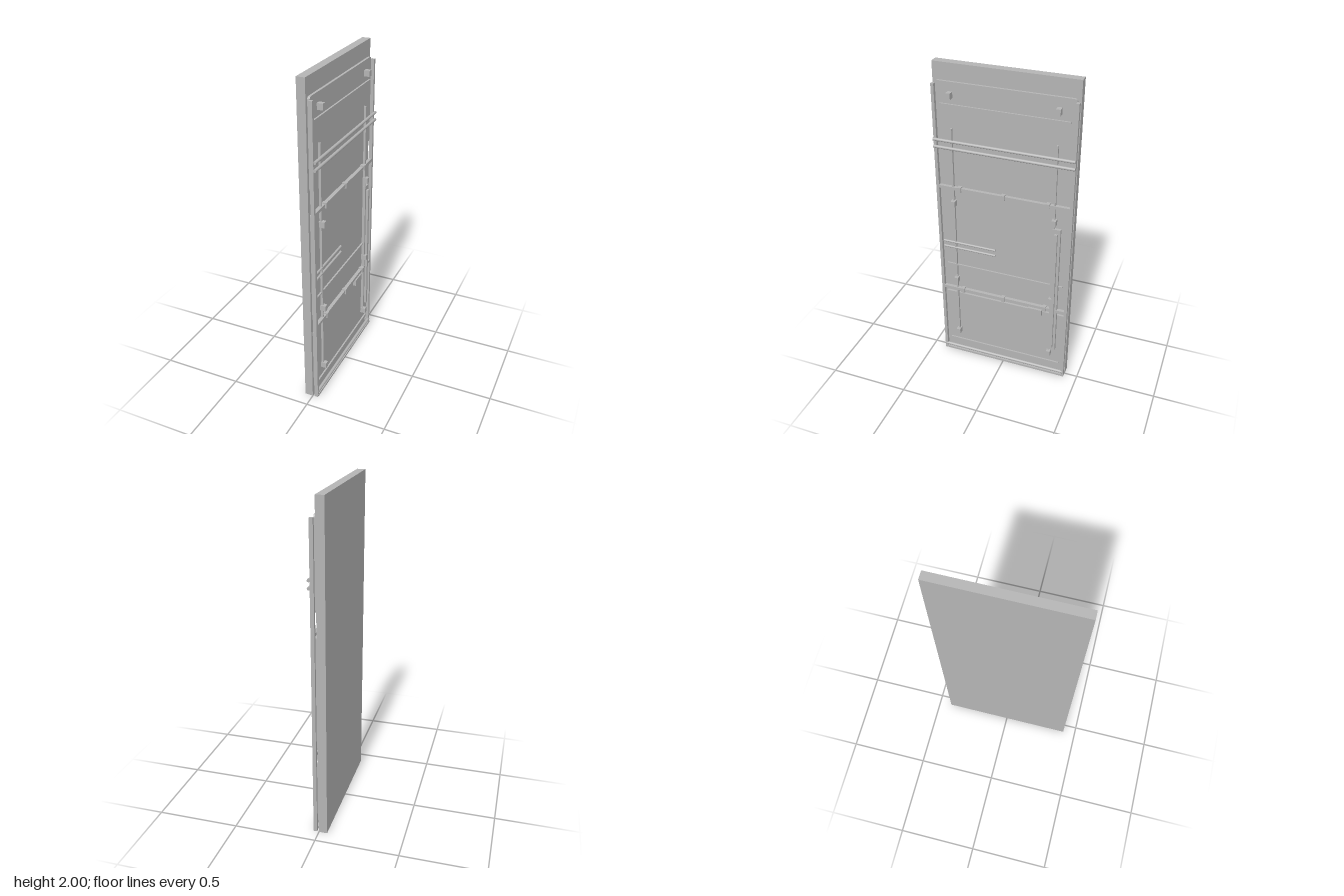
import * as THREE from 'three';

export function createModel() {
  const model = new THREE.Group();
  model.name = 'wallPanel';
  const grey = new THREE.MeshStandardMaterial({ color: 0xb4b4b4 });
  grey.name = 'plain grey';

  const add = (name, geometry) => {
    const mesh = new THREE.Mesh(geometry, grey);
    mesh.name = name;
    model.add(mesh);
    return mesh;
  };
  // Box given by its limits on each axis
  const box = (name, x0, x1, y0, y1, z0, z1) =>
    add(name, new THREE.BoxGeometry(x1 - x0, y1 - y0, z1 - z0))
      .position.set((x0 + x1) / 2, (y0 + y1) / 2, (z0 + z1) / 2);
  // Round pipe running along z
  const pipe = (name, x, y, r, z0, z1) => {
    const p = add(name, new THREE.CylinderGeometry(r, r, z1 - z0, 16));
    p.rotation.x = Math.PI / 2;
    p.position.set(x, y, (z0 + z1) / 2);
  };
  // Sheet with rounded corners lying on the slab
  const sheet = (name, y0, y1) => {
    const w = 0.4, r = 0.018;
    const s = new THREE.Shape();
    s.moveTo(-w + r, y0);
    s.lineTo(w - r, y0);
    s.quadraticCurveTo(w, y0, w, y0 + r);
    s.lineTo(w, y1 - r);
    s.quadraticCurveTo(w, y1, w - r, y1);
    s.lineTo(-w + r, y1);
    s.quadraticCurveTo(-w, y1, -w, y1 - r);
    s.lineTo(-w, y0 + r);
    s.quadraticCurveTo(-w, y0, -w + r, y0);
    const g = new THREE.ExtrudeGeometry(s, { depth: 0.014, bevelEnabled: false, curveSegments: 5 });
    add(name, g).rotation.y = Math.PI / 2;
  };

  // Backing slab and the three sheets
  box('slab', -0.05, 0, 0, 2, -0.418, 0.418);
  sheet('upperSheet', 1.38, 1.9);
  sheet('middleSheet', 0.55, 1.25);
  sheet('lowerSheet', 0.055, 0.48);

  // Thin ribs across the sheets
  for (const y of [1.77, 0.705, 0.095]) box('rib', 0.012, 0.024, y - 0.004, y + 0.004, -0.375, 0.375);

  // Side posts and foot rail
  for (const s of [-1, 1]) {
    const a = s * 0.398, b = s * 0.416;
    box('sidePost', 0.012, 0.034, 0, 1.885, Math.min(a, b), Math.max(a, b));
  }
  box('footRail', 0.012, 0.036, 0.003, 0.016, -0.416, 0.416);
  pipe('footPipe', 0.028, 0.035, 0.01, -0.41, 0.41);

  // Cross rails with clips
  for (const y of [1.255, 0.523]) {
    box('crossRail', 0.013, 0.034, y - 0.009, y + 0.009, -0.4, 0.4);
    for (const z of [-0.27, 0, 0.27]) box('railClip', 0.013, 0.041, y - 0.016, y + 0.016, z - 0.011, z + 0.011);
  }

  // Upright bars and their square brackets
  box('longUpright', 0.014, 0.028, 0.18, 1.63, 0.306, 0.316);
  box('shortUpright', 0.014, 0.028, 0.18, 1.63, -0.313, -0.303);
  for (const z of [-0.31, 0.31])
    for (const y of [1.828, 1.155, 0.6, 0.178])
      box('bracket', 0.012, 0.048, y - 0.018, y + 0.018, z - 0.013, z + 0.013);

  // Full width pipes and the short pair
  for (const y of [1.56, 1.516]) pipe('widePipe', 0.041, y, 0.009, -0.415, 0.415);
  for (const y of [0.874, 0.836]) pipe('shortPipe', 0.024, y, 0.007, 0.052, 0.388);

  // Upright channel with raised strip, and small box
  box('channel', 0.012, 0.032, 0.205, 1.11, -0.35, -0.302);
  box('channelStrip', 0.03, 0.047, 0.235, 1.082, -0.335, -0.317);
  box('smallBox', 0.012, 0.036, 0.46, 0.503, -0.254, -0.165);

  return model;
}
